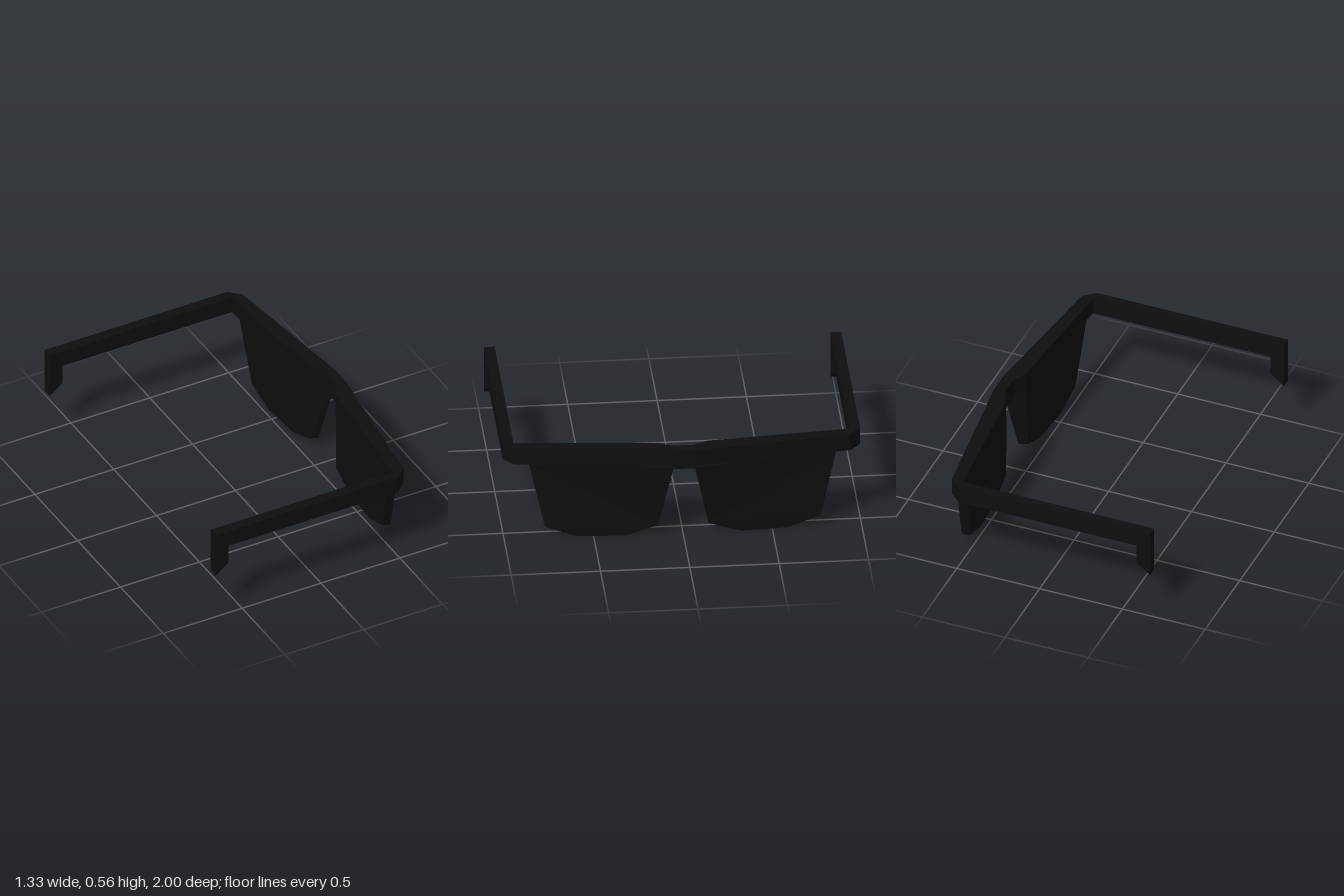
import * as THREE from 'three';

const black = new THREE.MeshStandardMaterial({ color: 0x0e0e0e, flatShading: true });
black.name = 'black';

const toShape = (pts) => new THREE.Shape(pts.map(([x, y]) => new THREE.Vector2(x, y)));

function addMesh(group, geometry, name) {
  const mesh = new THREE.Mesh(geometry, black);
  mesh.name = name;
  group.add(mesh);
}

// Extrudes a plan given as [x, z] between two heights
function planGeometry(pts, bottom, top) {
  const g = new THREE.ExtrudeGeometry(toShape(pts), { depth: top - bottom, bevelEnabled: false });
  return g.rotateX(Math.PI / 2).translate(0, top, 0);
}

// Mirrors half a plan across z = 0
const mirrorPlan = (half) => [...half, ...half.map(([x, z]) => [x, -z]).reverse()];

// Lens rows, top to bottom: front outer, front nose, back nose, back outer as [x, y, z]
const lensRows = [
  [[0.56, 0.462, 0.86], [0.66, 0.45, 0.06], [0.557, 0.462, 0.145], [0.492, 0.462, 0.86]],
  [[0.567, 0.065, 0.77], [0.602, 0.065, 0.14], [0.552, 0.065, 0.16], [0.52, 0.065, 0.765]],
  [[0.572, 0, 0.59], [0.588, 0, 0.325], [0.547, 0, 0.33], [0.53, 0, 0.585]],
];

function lensGeometry(side) {
  const position = [];
  const quad = (a, b, c, d) => {
    const order = side > 0 ? [a, b, c, a, c, d] : [a, c, b, a, d, c];
    for (const [x, y, z] of order) position.push(x, y, z * side);
  };
  for (let r = 0; r < lensRows.length - 1; r++) {
    const up = lensRows[r], low = lensRows[r + 1];
    for (let i = 0; i < 4; i++) {
      const j = (i + 1) % 4;
      quad(up[i], low[i], low[j], up[j]);
    }
  }
  const [a, b, c, d] = lensRows[lensRows.length - 1];
  quad(a, d, c, b);
  quad(...lensRows[0]);
  const g = new THREE.BufferGeometry();
  g.setAttribute('position', new THREE.Float32BufferAttribute(position, 3));
  g.computeVertexNormals();
  return g;
}

export function createModel() {
  const model = new THREE.Group();
  model.name = 'sunglasses';

  // Brow bar with chamfered hinge corners
  const outer = [[0.487, 1], [0.555, 0.94], [0.665, 0.07]];
  const inner = [[0.6, 0.06], [0.558, 0.145], [0.487, 0.94]];
  const plan = [
    ...mirrorPlan(outer),
    ...mirrorPlan(inner.slice().reverse()).reverse(),
  ];
  addMesh(model, planGeometry(plan, 0.46, 0.56), 'browBar');

  // Nose bridge, slightly deeper than the bar
  addMesh(model, planGeometry(mirrorPlan([[0.664, 0.065], [0.6, 0.06]]), 0.445, 0.559), 'noseBridge');

  // Arm side profile with slanted ear hook
  const armShape = toShape([
    [-0.667, 0.28], [-0.585, 0.345], [-0.585, 0.46],
    [0.487, 0.46], [0.487, 0.56], [-0.667, 0.56],
  ]);
  for (const side of [1, -1]) {
    const label = side > 0 ? 'Left' : 'Right';
    const arm = new THREE.ExtrudeGeometry(armShape, { depth: 0.06, bevelEnabled: false });
    arm.translate(0, 0, side > 0 ? 0.94 : -1);
    addMesh(model, arm, 'arm' + label);
    addMesh(model, lensGeometry(side), 'lens' + label);
  }
  return model;
}
